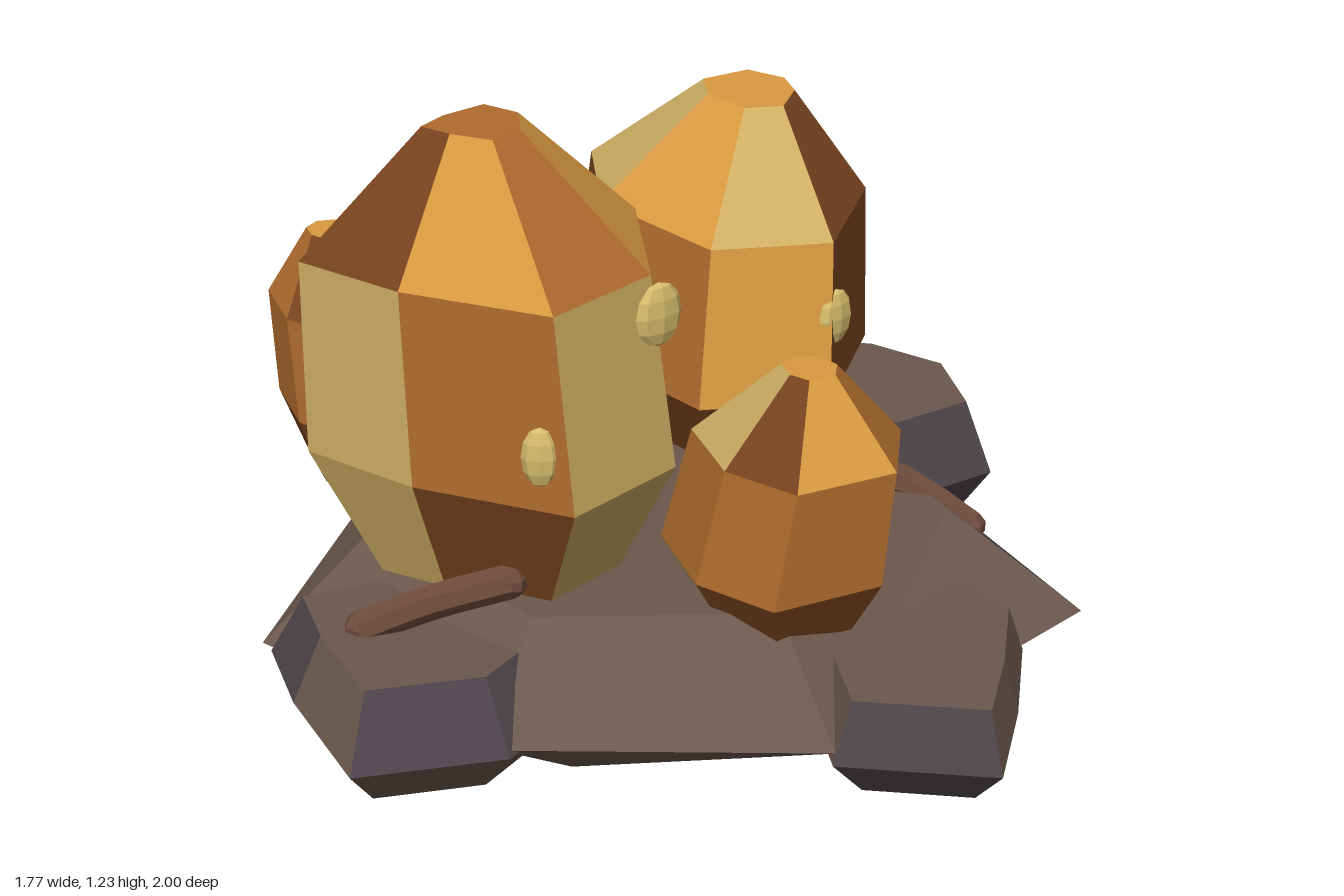
import * as THREE from 'three';

const mat = (color) => new THREE.MeshStandardMaterial({ color, flatShading: true });
const amber = { g: mat(0xd99a40), p: mat(0xccad62), o: mat(0xb06c2e), b: mat(0x78431f) };
const stone = { s: mat(0x6b584d), d: mat(0x4d454b) };
const rootMat = mat(0x6b4a3a);
const spotMat = mat(0xd6bd6c);

// Faceted solid skinned over stacked rings of [x, y, z]; colours are one letter per facet
function faceted(name, rings, palette, rows, cap) {
  const keys = Object.keys(palette);
  const faces = keys.map(() => []);
  const quad = (key, ...pts) => {
    const out = faces[keys.indexOf(key)];
    for (let i = 1; i < pts.length - 1; i++) out.push(...pts[0], ...pts[i], ...pts[i + 1]);
  };
  const n = rings[0].length;
  for (let r = 0; r < rings.length - 1; r++) {
    for (let i = 0; i < n; i++) {
      const j = (i + 1) % n;
      quad(rows[r][i % rows[r].length], rings[r][i], rings[r][j], rings[r + 1][j], rings[r + 1][i]);
    }
  }
  quad(cap, ...rings[rings.length - 1]);
  quad(cap, ...[...rings[0]].reverse());
  const geo = new THREE.BufferGeometry();
  geo.setAttribute('position', new THREE.Float32BufferAttribute(faces.flat(), 3));
  let start = 0;
  faces.forEach((f, k) => {
    geo.addGroup(start, f.length / 3, k);
    start += f.length / 3;
  });
  geo.computeVertexNormals();
  const mesh = new THREE.Mesh(geo, keys.map((k) => palette[k]));
  mesh.name = name;
  return mesh;
}

// Ring made from an outline scaled about a centre, then shifted
const ring = (outline, [cx, cz], [y, s, dx = 0, dz = 0]) =>
  outline.map(([x, z]) => [cx + (x - cx) * s + dx, y, cz + (z - cz) * s + dz]);

// Outlines run left, front, right, back; levels are [y, scale, dx, dz]
const pods = [
  {
    name: 'tallPod', centre: [-0.41, 0.08], cap: 'o',
    outline: [[-0.76, -0.03], [-0.64, 0.2], [-0.42, 0.45], [-0.16, 0.36], [-0.03, 0.04], [-0.18, -0.23], [-0.53, -0.16]],
    levels: [[0.26, 0.6], [0.57, 1], [0.97, 0.93, -0.02, -0.01], [1.23, 0.26, -0.03, 0]],
    rows: ['pbpbobp', 'popoopo', 'bgogbgo'],
  },
  {
    name: 'widePod', centre: [0.31, -0.28], cap: 'g',
    outline: [[-0.03, -0.31], [0.06, 0.05], [0.32, 0.14], [0.55, -0.1], [0.61, -0.35], [0.46, -0.62], [0.09, -0.6]],
    levels: [[0.28, 0.68], [0.5, 1], [0.83, 0.92, 0.03, -0.02], [1.03, 0.3, 0.07, -0.03]],
    rows: ['bbpbpbp', 'ogboggb', 'gpbgpop'],
  },
  {
    name: 'frontPod', centre: [0.03, 0.47], cap: 'g',
    outline: [[-0.19, 0.5], [-0.11, 0.66], [0.12, 0.67], [0.23, 0.51], [0.17, 0.31], [0.01, 0.24], [-0.16, 0.3]],
    levels: [[0.27, 0.7], [0.39, 1], [0.63, 0.91, 0.03, 0.02], [0.8, 0.24, 0.02, 0.04]],
    rows: ['bbpbobp', 'oopppbo', 'bgobbgp'],
  },
  {
    name: 'backPod', centre: [-0.45, -0.45], cap: 'g',
    outline: [[-0.64, -0.41], [-0.54, -0.22], [-0.37, -0.23], [-0.24, -0.42], [-0.29, -0.6], [-0.5, -0.66], [-0.62, -0.58]],
    levels: [[0.27, 0.7], [0.43, 1], [0.66, 0.92, -0.02, -0.02], [0.81, 0.26, -0.06, -0.05]],
    rows: ['bpbobpb', 'obopbgo', 'bpbogpo'],
  },
];

const sideRocks = [
  {
    name: 'leftRock', centre: [-0.64, 0.2], rows: ['sds', 'dsd'],
    outline: [[-0.86, -0.04], [-0.89, 0.16], [-0.89, 0.45], [-0.6, 0.53], [-0.36, 0.4], [-0.4, 0]],
    levels: [[0.03, 0.72], [0.14, 1], [0.28, 0.76]],
  },
  {
    name: 'frontRock', centre: [0.2, 0.72], rows: ['dss', 'dss'],
    outline: [[-0.07, 0.82], [0.19, 1], [0.34, 0.83], [0.48, 0.64], [0.44, 0.46], [0.02, 0.55]],
    levels: [[0.03, 0.68], [0.13, 1], [0.25, 0.82]],
  },
  {
    name: 'rightRock', centre: [0.64, -0.22], rows: ['sdssd', 'ddsdd'],
    outline: [[0.42, -0.05], [0.57, 0.05], [0.81, 0.03], [0.88, -0.21], [0.77, -0.42], [0.58, -0.53], [0.44, -0.42]],
    levels: [[0.03, 0.72], [0.16, 1], [0.32, 0.78]],
  },
  {
    name: 'backRock', centre: [-0.18, -0.8], rows: ['sd', 'ds'],
    outline: [[-0.41, -0.94], [-0.41, -0.7], [-0.28, -0.63], [0.08, -0.7], [0.12, -0.97], [-0.1, -0.96]],
    levels: [[0.04, 0.75], [0.12, 1], [0.27, 0.78]],
  },
];

export function createModel() {
  const model = new THREE.Group();
  model.name = 'rockWithPods';

  // Flat base rock
  const at = (y, pts) => pts.map(([x, z]) => [x, y, z]);
  model.add(faceted('baseRock', [
    at(0, [[-0.6, 0], [-0.42, 0.42], [-0.05, 0.56], [0.44, 0.45], [0.5, -0.55], [-0.03, -0.68]]),
    at(0.15, [[-0.87, -0.06], [-0.61, 0.51], [-0.06, 0.81], [0.65, 0.6], [0.66, -0.75], [-0.03, -1]]),
    at(0.33, [[-0.6, -0.1], [-0.48, 0.37], [-0.05, 0.58], [0.46, 0.38], [0.46, -0.6], [-0.03, -0.78]]),
  ], stone, ['s', 'sssdds'], 's'));

  // Rocks leaning on the base, then the pods on top
  for (const r of sideRocks) {
    model.add(faceted(r.name, r.levels.map((l) => ring(r.outline, r.centre, l)), stone, r.rows, 's'));
  }
  for (const p of pods) {
    model.add(faceted(p.name, p.levels.map((l) => ring(p.outline, p.centre, l)), amber, p.rows, p.cap));
  }

  // Flattened spots: position, half sizes, turn about y
  const spots = [
    [[-0.215, 0.92, 0.395], [0.052, 0.065, 0.02], 0.15],
    [[-0.465, 0.685, 0.4], [0.036, 0.062, 0.02], -0.5],
    [[0.355, 0.665, 0.09], [0.048, 0.062, 0.02], 0.3],
  ];
  spots.forEach(([pos, size, turn], i) => {
    const spot = new THREE.Mesh(new THREE.SphereGeometry(1, 8, 6), spotMat);
    spot.position.set(...pos);
    spot.scale.set(...size);
    spot.rotation.y = turn;
    spot.name = `spot${i + 1}`;
    model.add(spot);
  });

  // Roots creeping out from under the pods, closed with round ends
  const roots = [
    [[-0.75, 0.28, 0.18], [-0.63, 0.33, 0.23], [-0.48, 0.37, 0.29]],
    [[0.14, 0.41, 0.1], [0.3, 0.39, 0.18], [0.43, 0.34, 0.25], [0.53, 0.26, 0.36]],
  ];
  roots.forEach((pts, i) => {
    const path = new THREE.CatmullRomCurve3(pts.map((p) => new THREE.Vector3(...p)));
    const root = new THREE.Group();
    root.name = `root${i + 1}`;
    root.add(new THREE.Mesh(new THREE.TubeGeometry(path, 6, 0.036, 7), rootMat));
    for (const t of [0, 1]) {
      const end = new THREE.Mesh(new THREE.SphereGeometry(0.035, 7, 5), rootMat);
      end.position.copy(path.getPoint(t));
      root.add(end);
    }
    model.add(root);
  });

  return model;
}
